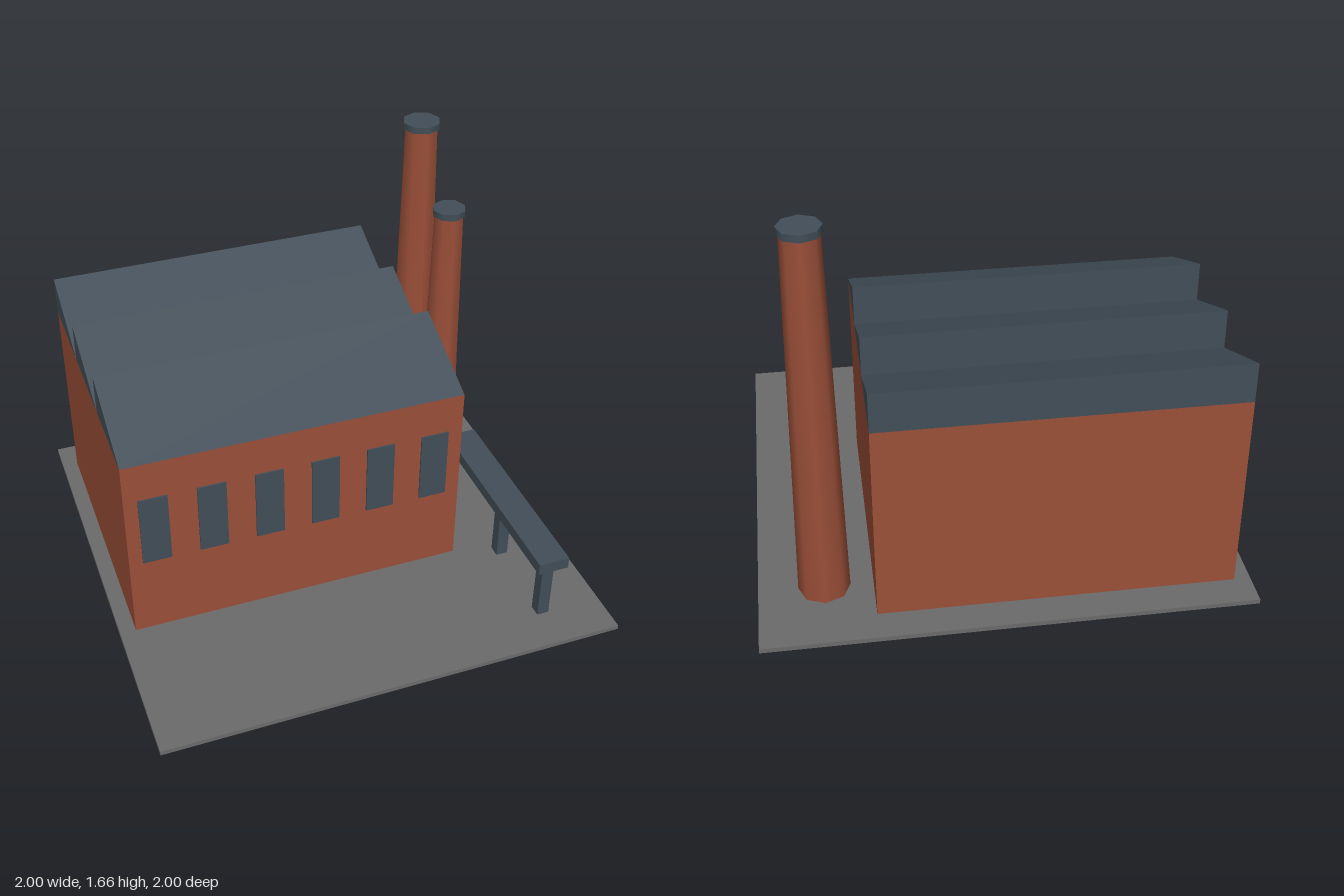
import * as THREE from 'three';

export function createModel() {
  const model = new THREE.Group();
  model.name = 'factory';

  const material = (name, color) => {
    const m = new THREE.MeshStandardMaterial({ color });
    m.name = name;
    return m;
  };
  const brick = material('brick', 0x9a4f38);
  const slate = material('slate', 0x424e58);
  const concrete = material('concrete', 0x6b6b6b);

  const add = (name, geometry, mat, x, y, z, parent = model) => {
    const mesh = new THREE.Mesh(geometry, mat);
    mesh.name = name;
    mesh.position.set(x, y, z);
    parent.add(mesh);
    return mesh;
  };
  const box = (w, h, d) => new THREE.BoxGeometry(w, h, d);

  const groundTop = 0.02;
  add('groundSlab', box(2, groundTop, 2), concrete, 0, groundTop / 2, 0);

  // Main hall
  const left = -0.932, right = 0.532, front = 0.335, back = -0.865, eaves = 0.89;
  const width = right - left, midX = (left + right) / 2;
  add('hall', box(width, eaves - groundTop, front - back), brick,
    midX, (eaves + groundTop) / 2, (front + back) / 2);

  // Sawtooth roof: slopes rise toward the back, then drop vertically
  const bays = 3, bayDepth = (front - back) / bays, rise = 0.172;
  const tooth = new THREE.Shape([
    new THREE.Vector2(0, 0),
    new THREE.Vector2(-bayDepth, rise),
    new THREE.Vector2(-bayDepth, 0),
  ]);
  const toothGeometry = new THREE.ExtrudeGeometry(tooth, { depth: width, bevelEnabled: false });
  toothGeometry.rotateY(-Math.PI / 2);
  for (let i = 0; i < bays; i++) {
    add('roofTooth', toothGeometry, slate, right, eaves, front - i * bayDepth);
  }

  // Front windows
  const windowGeometry = box(0.122, 0.327, 0.008);
  for (let i = 0; i < 6; i++) {
    add('window', windowGeometry, slate, -0.813 + i * 0.244, 0.552, front + 0.003);
  }

  // Eight-sided tapering chimneys with caps
  const chimney = (name, z, topY, baseRadius, topRadius, capRadius) => {
    const group = new THREE.Group();
    group.name = name;
    group.position.set(0.732, 0, z);
    model.add(group);
    const height = topY - groundTop, capHeight = 0.03;
    add('stack', new THREE.CylinderGeometry(topRadius, baseRadius, height, 8), brick,
      0, groundTop + height / 2, 0, group);
    add('cap', new THREE.CylinderGeometry(capRadius, capRadius, capHeight, 8), slate,
      0, topY + capHeight / 2, 0, group);
  };
  chimney('tallChimney', -0.666, 1.626, 0.106, 0.076, 0.085);
  chimney('shortChimney', -0.333, 1.36, 0.093, 0.066, 0.074);

  // Raised conveyor on two legs
  add('conveyorDeck', box(0.135, 0.053, 0.932), slate, 0.732, 0.326, 0.4);
  for (const z of [0.8, 0.4]) {
    add('conveyorLeg', box(0.052, 0.27, 0.052), slate, 0.732, 0.155, z);
  }

  return model;
}
